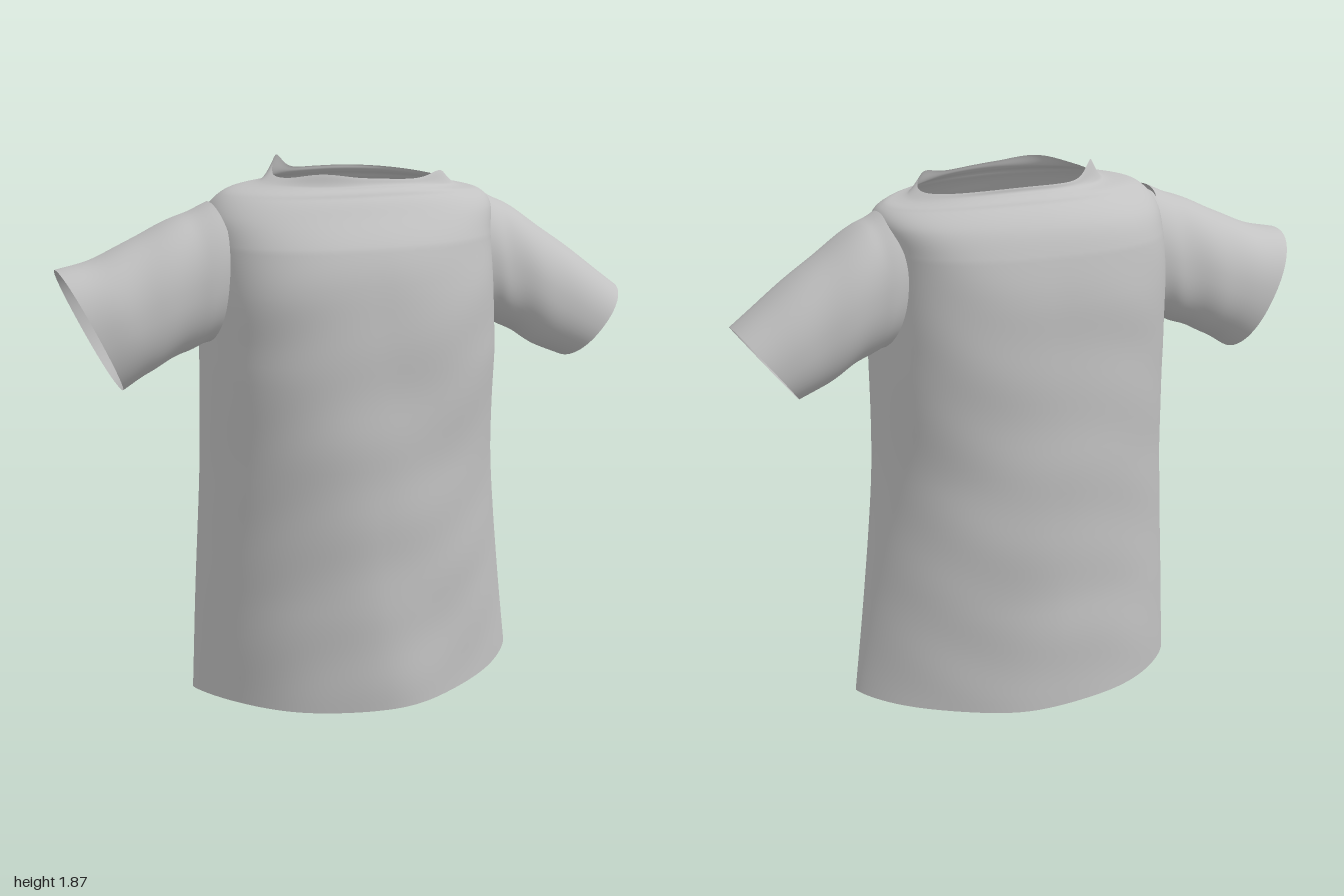
import * as THREE from 'three';

const cloth = new THREE.MeshStandardMaterial({ color: 0xc2c2c2, side: THREE.DoubleSide });
cloth.name = 'grey cloth';

// Closed-loop loft: point(v, t) gives a position, v in 0..1 along, t the angle around.
// Faces touching a vertex for which cut() is true are left out.
function loft(name, rows, cols, point, cut = () => false) {
  const pos = [], index = [], open = [];
  for (let i = 0; i <= rows; i++) {
    for (let j = 0; j < cols; j++) {
      const p = point(i / rows, (j / cols) * Math.PI * 2);
      pos.push(p.x, p.y, p.z);
      open.push(cut(p));
    }
  }
  for (let i = 0; i < rows; i++) {
    for (let j = 0; j < cols; j++) {
      const a = i * cols + j, c = i * cols + ((j + 1) % cols);
      const b = a + cols, d = c + cols;
      if (![a, b, c, d].some((k) => open[k])) index.push(a, b, c, c, b, d);
    }
  }
  const g = new THREE.BufferGeometry();
  g.setAttribute('position', new THREE.Float32BufferAttribute(pos, 3));
  g.setIndex(index);
  g.computeVertexNormals();
  const mesh = new THREE.Mesh(g, cloth);
  mesh.name = name;
  return mesh;
}

const curve = (list) => new THREE.CatmullRomCurve3(list.map((p) => new THREE.Vector3(...p)));
const spow = (v, e) => Math.sign(v) * Math.pow(Math.abs(v), e);
const bump = (t, at, width) => Math.exp(-(((t - at) / width) ** 2));

// Body sections from hem to neck: height, right x, left x, front z, back z, squareness
const sections = [
  [0.0, -0.56, 0.635, 0.36, -0.35, 2.0],
  [0.4, -0.545, 0.585, 0.372, -0.362, 2.0],
  [0.85, -0.52, 0.535, 0.382, -0.372, 2.1],
  [1.28, -0.505, 0.515, 0.386, -0.378, 2.4],
  [1.48, -0.5, 0.5, 0.374, -0.37, 2.6],
  [1.61, -0.495, 0.5, 0.345, -0.355, 2.5],
  [1.7, -0.485, 0.51, 0.29, -0.318, 2.3],
  [1.765, -0.43, 0.475, 0.24, -0.25, 2.1],
  [1.795, -0.3, 0.39, 0.21, -0.212, 2.1],
  [1.815, -0.25, 0.35, 0.195, -0.2, 2.2],
];

// Distance from the armhole centre, 1 on its rim
const armhole = (p) => (Math.abs(p.x) > 0.38
  ? Math.hypot(p.z / 0.175, (p.y - 1.5) / 0.22) : 9);

function body() {
  const a = curve(sections.map((s) => [s[0], s[1], s[2]]));
  const b = curve(sections.map((s) => [s[3], s[4], s[5]]));
  const point = (v, t) => {
    const A = a.getPoint(v), B = b.getPoint(v);
    let y = A.x;
    // side seams sharpen towards the hem and sit slightly behind the middle
    const low = Math.max(0, 1 - y / 1.2);
    const u = spow(Math.cos(t), 2 / B.z);
    const w = spow(Math.sin(t), (2 / B.z) * (1 + 0.55 * low));
    const x = u > 0 ? A.z * u : -A.y * u;
    let z = w > 0 ? B.x * w : -B.y * w;
    z -= 0.04 * low * u * u;
    // hem rises towards the sides
    y += Math.max(0, 1 - y / 0.8) * (u > 0 ? 0.045 : 0.012) * (1 - Math.abs(w));
    // left shoulder drops a little
    y -= 0.028 * THREE.MathUtils.smoothstep(v, 0.65, 0.85) * Math.max(0, u) ** 2;
    // uneven raised neck edge
    const top = Math.max(0, (v - 0.9) / 0.1);
    y += top * (0.055 * bump(t, 3.75, 0.28) + 0.03 * bump(t, 0.6, 0.3) + 0.022 * bump(t, 2.1, 0.5));
    // soft folds, fading out at the neck and side seams
    const fade = Math.abs(w) * Math.min(1, (1 - v) * 5);
    const fold = 0.003 * Math.sin(9 * y + 5 * Math.abs(x) + 2 * Math.sin(3 * x))
      + 0.002 * Math.sin(21 * y - 9 * x + Math.sin(7 * x) + (w > 0 ? 0 : 2))
      + 0.005 * low * Math.sin(13 * x + 3 * y);
    z += Math.sign(w) * fold * fade;
    // pull nearby vertices onto the armhole rim
    const p = new THREE.Vector3(x, y, z);
    const r = armhole(p);
    if (r > 0.8 && r < 1) p.set(x, 1.5 + (y - 1.5) / r, z / r);
    return p;
  };
  return loft('shirtBody', 110, 200, point, (p) => armhole(p) < 0.99);
}

// Sleeve through top and bottom points [x, y], with [z centre, half depth] per section
function sleeve(name, side, tops, bottoms, depths) {
  const T = curve(tops.map((p) => [p[0], p[1], 0]));
  const B = curve(bottoms.map((p) => [p[0], p[1], 0]));
  const D = curve(depths.map((p, i) => [p[0], p[1], i]));
  return loft(name, 36, 64, (v, t) => {
    const top = T.getPoint(v), bot = B.getPoint(v), d = D.getPoint(v);
    const p = bot.clone().lerp(top, (1 + spow(Math.cos(t), 0.92)) / 2);
    p.z = d.x - side * d.y * spow(Math.sin(t), 0.88);
    // seam wraps onto the front and back of the body
    p.x -= side * 0.04 * Math.sin(t) ** 2 * (1 - v) ** 3;
    // gathers near the armhole
    const f = 0.004 * Math.sin(v * 16 + 3 * Math.cos(t)) * (1 - v) * Math.min(1, v * 6);
    p.y += f * Math.cos(t);
    p.z -= side * f * Math.sin(t);
    return p;
  });
}

export function createModel() {
  const shirt = new THREE.Group();
  shirt.name = 'shirt';
  shirt.add(body());
  shirt.add(sleeve('rightSleeve', -1,
    [[-0.48, 1.74], [-0.6, 1.69], [-0.74, 1.63], [-0.87, 1.57], [-1.0, 1.54]],
    [[-0.495, 1.275], [-0.56, 1.255], [-0.64, 1.22], [-0.72, 1.18], [-0.8, 1.13]],
    [[0, 0.185], [-0.005, 0.185], [-0.005, 0.188], [0, 0.188], [0, 0.182]]));
  shirt.add(sleeve('leftSleeve', 1,
    [[0.485, 1.735], [0.57, 1.69], [0.71, 1.597], [0.855, 1.49], [1.0, 1.38]],
    [[0.495, 1.28], [0.56, 1.26], [0.63, 1.22], [0.71, 1.17], [0.8, 1.132]],
    [[0, 0.185], [0.005, 0.185], [0.01, 0.183], [0.015, 0.178], [0.015, 0.165]]));
  return shirt;
}
